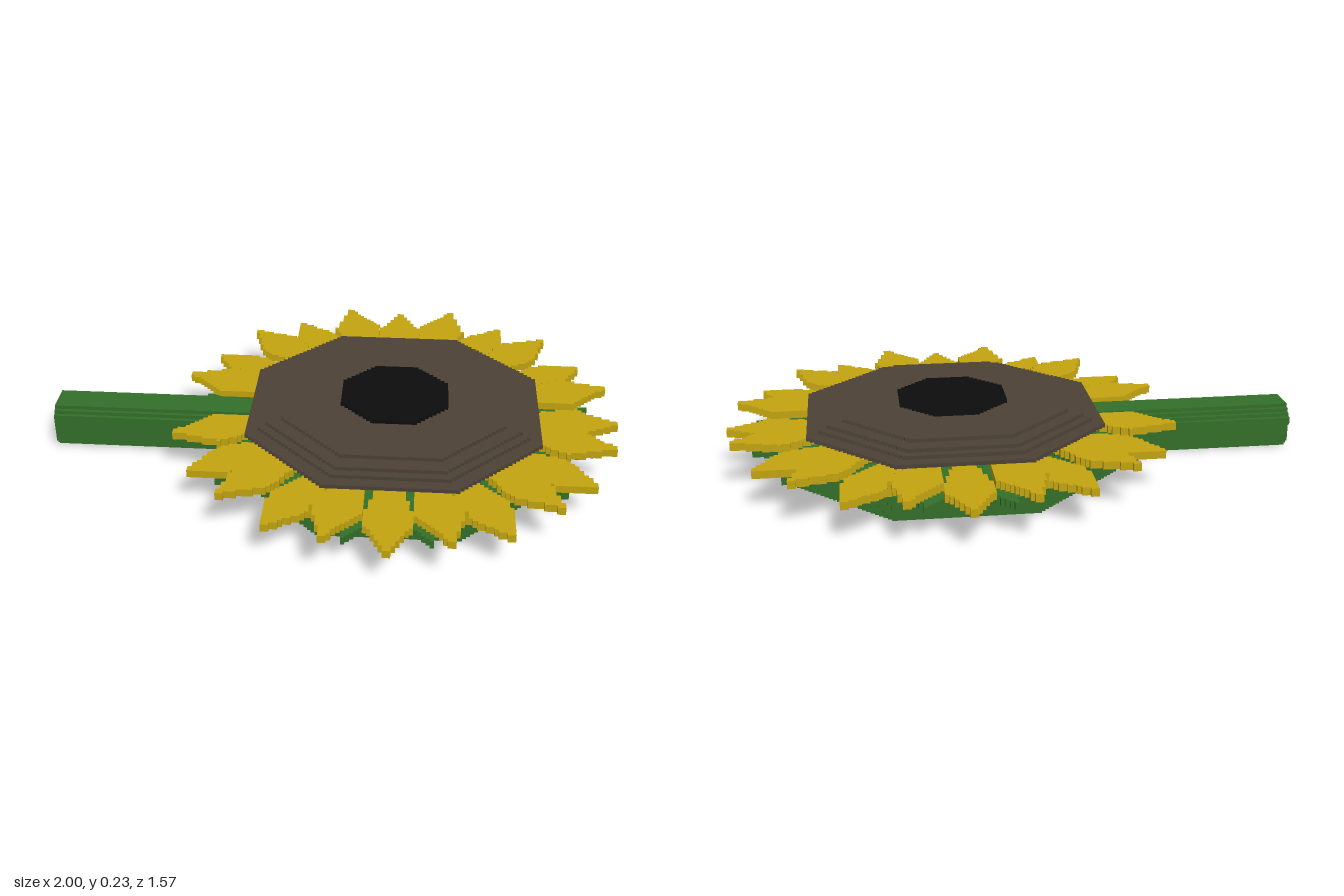
import * as THREE from 'three';

const V = 2 / 150; // block size of the stepped style

const mat = (name, color) => {
  const m = new THREE.MeshStandardMaterial({ color });
  m.name = name;
  return m;
};

// Staircase outline of a convex polygon, snapped to the block grid
function steppedShape(points) {
  const ys = points.map(p => p[1]);
  const first = Math.round(Math.min(...ys) / V), last = Math.round(Math.max(...ys) / V);
  const leftSide = [], rightSide = [];
  for (let k = first; k < last; k++) {
    const y = (k + 0.5) * V, hits = [];
    points.forEach(([ax, ay], i) => {
      const [bx, by] = points[(i + 1) % points.length];
      if ((ay > y) !== (by > y)) hits.push(ax + (bx - ax) * (y - ay) / (by - ay));
    });
    if (hits.length < 2) continue;
    const lo = Math.round(Math.min(...hits) / V);
    const hi = Math.max(lo + 1, Math.round(Math.max(...hits) / V));
    rightSide.push([hi, k], [hi, k + 1]);
    leftSide.push([lo, k], [lo, k + 1]);
  }
  const loop = [...rightSide, ...leftSide.reverse()];
  // drop repeated corners and points along straight runs
  const corners = loop.filter(([x, y], i) => {
    const [px, py] = loop[(i + loop.length - 1) % loop.length];
    const [nx, ny] = loop[(i + 1) % loop.length];
    return (x - px) * (ny - y) !== (y - py) * (nx - x);
  });
  return new THREE.Shape(corners.map(([x, y]) => new THREE.Vector2(x * V, y * V)));
}

const extrude = (points, depth) =>
  new THREE.ExtrudeGeometry(steppedShape(points), { depth, bevelEnabled: false });

// Regular octagon with flat sides facing the axes
function octagon(apothem) {
  const r = apothem / Math.cos(Math.PI / 8);
  return Array.from({ length: 8 }, (_, i) => {
    const a = (i + 0.5) * Math.PI / 4;
    return [r * Math.cos(a), r * Math.sin(a)];
  });
}

// Horizontal slab between two block layers
function slab(name, points, from, to, material) {
  const geo = extrude(points, (to - from) * V);
  geo.rotateX(-Math.PI / 2).translate(0, from * V, 0);
  const mesh = new THREE.Mesh(geo, material);
  mesh.name = name;
  return mesh;
}

// Pointed leaf along a direction: [radius, half width] pairs
function leaf(profile, angle) {
  const c = Math.cos(angle), s = Math.sin(angle);
  const outline = [...profile, ...profile.slice().reverse().map(([r, w]) => [r, -w])];
  return outline.map(([r, w]) => [r * c - w * s, r * s + w * c]);
}

export function createModel() {
  const green = mat('leaf green', 0x34702a);
  const yellow = mat('petal yellow', 0xc4a510);
  const brown = mat('seed brown', 0x4c4237);
  const black = mat('centre black', 0x0d0d0d);

  const model = new THREE.Group();
  model.name = 'sunflower';

  // Octagonal stem lying along x
  const stemGeo = extrude(octagon(6.5 * V), 0.9);
  stemGeo.rotateY(Math.PI / 2).translate(-1, 6.5 * V, 0);
  const stem = new THREE.Mesh(stemGeo, green);
  stem.name = 'stem';
  model.add(stem);

  const head = new THREE.Group();
  head.name = 'flowerHead';
  head.position.x = 1 - 59 * V;
  model.add(head);

  // Green cup under the flower
  head.add(slab('base', octagon(0.547), 1, 7, green));

  // Green sepals
  const sepals = new THREE.Group();
  sepals.name = 'sepals';
  for (let i = 0; i < 16; i++) {
    const p = leaf([[0.4, 0.07], [0.56, 0.085], [0.705, 0.004]], (i + 0.5) * Math.PI / 8);
    sepals.add(slab('sepal', p, 7, 9, green));
  }
  head.add(sepals);

  // Petals alternate between two layers
  const petals = new THREE.Group();
  petals.name = 'petals';
  for (let i = 0; i < 24; i++) {
    const p = leaf([[0.42, 0.035], [0.635, 0.087], [0.787, 0.004]], i * Math.PI / 12);
    const y = 9 + (i % 2) * 2;
    petals.add(slab('petal', p, y, y + 2, yellow));
  }
  head.add(petals);

  // Stepped seed disc and dark centre
  [0.51, 0.47, 0.435, 0.39].forEach((a, i) =>
    head.add(slab('seedDiscTier', octagon(a), 13 + i, 14 + i, brown)));
  head.add(slab('centre', octagon(0.187), 17, 18, black));

  return model;
}
